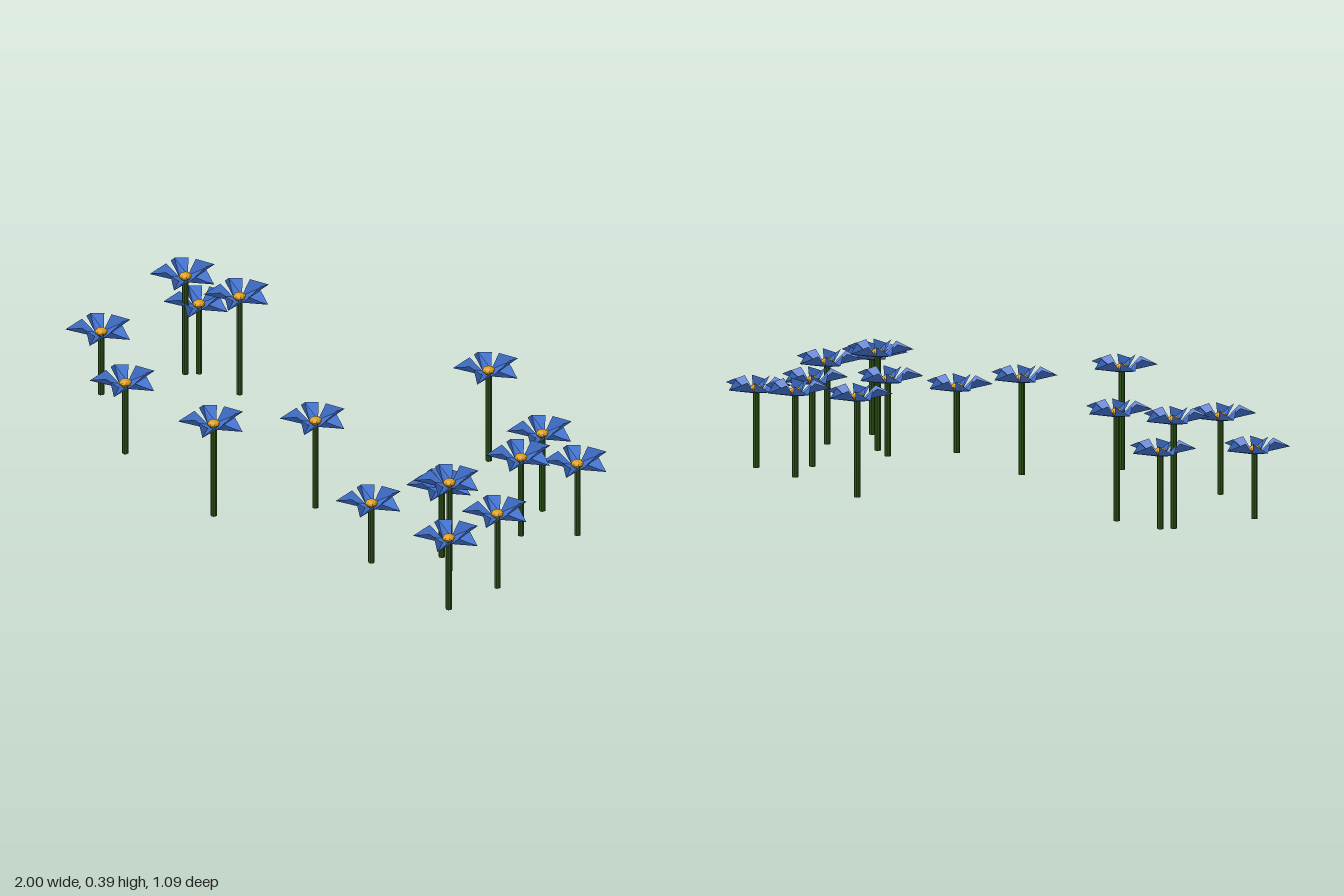
import * as THREE from 'three';

// x, z and height of each flower's stem
const FLOWERS = [
  [-0.768, -0.318, 0.337], [-0.548, -0.313, 0.337], [-0.905, -0.049, 0.208], [-0.608, 0.221, 0.237],
  [-0.132, 0.386, 0.316], [0.098, 0.148, 0.297], [0.358, -0.434, 0.31], [0.695, -0.269, 0.262],
  [0.882, -0.206, 0.24], [0.738, -0.096, 0.264], [0.619, 0.17, 0.234], [0.695, 0.231, 0.302],
  [0.885, 0.229, 0.25], [0.46, 0.335, 0.196], [0.845, 0.437, 0.24], [-0.735, -0.347, 0.234],
];

// Kite-shaped petal along +x, folded into a valley, its foot touching its neighbours
function petalGeometry() {
  const base = [0, 0.002, 0];
  const tip = [0.115, 0.027, 0];
  const half = (side) => [[0.02, 0.01, side * 0.0145], [0.062, 0.05, side * 0.03]];
  const [backFoot, back] = half(-1);
  const [frontFoot, front] = half(1);
  const points = [
    base, tip, backFoot, backFoot, tip, back,
    base, frontFoot, tip, frontFoot, front, tip,
  ].flat();
  const geometry = new THREE.BufferGeometry();
  geometry.setAttribute('position', new THREE.Float32BufferAttribute(points, 3));
  geometry.computeVertexNormals();
  return geometry;
}

export function createModel() {
  const green = new THREE.MeshStandardMaterial({ color: 0x2d5016, flatShading: true });
  const blue = new THREE.MeshStandardMaterial({ color: 0x4070cc, flatShading: true, side: THREE.DoubleSide });
  const gold = new THREE.MeshStandardMaterial({ color: 0xe0a020, flatShading: true });

  // Octagonal stem with flat sides to the front and to the sides
  const stemGeometry = new THREE.CylinderGeometry(0.0105, 0.0105, 1, 8)
    .rotateY(Math.PI / 8)
    .translate(0, 0.5, 0);
  const petal = petalGeometry();
  const centreGeometry = new THREE.SphereGeometry(0.021, 8, 6).scale(1, 0.6, 1);

  const model = new THREE.Group();
  model.name = 'flowerPatch';

  for (const [x, z, height] of FLOWERS) {
    const flower = new THREE.Group();
    flower.name = 'flower';
    flower.position.set(x, 0, z);

    const stem = new THREE.Mesh(stemGeometry, green);
    stem.name = 'stem';
    stem.scale.y = height + 0.005;
    flower.add(stem);

    // Five petals around a small domed centre
    const bloom = new THREE.Group();
    bloom.name = 'bloom';
    bloom.position.y = height;
    for (let i = 0; i < 5; i++) {
      const mesh = new THREE.Mesh(petal, blue);
      mesh.name = 'petal';
      mesh.rotation.y = (i * Math.PI * 2) / 5;
      bloom.add(mesh);
    }
    const centre = new THREE.Mesh(centreGeometry, gold);
    centre.name = 'flowerCentre';
    centre.position.y = 0.02;
    bloom.add(centre);

    flower.add(bloom);
    model.add(flower);
  }
  return model;
}
